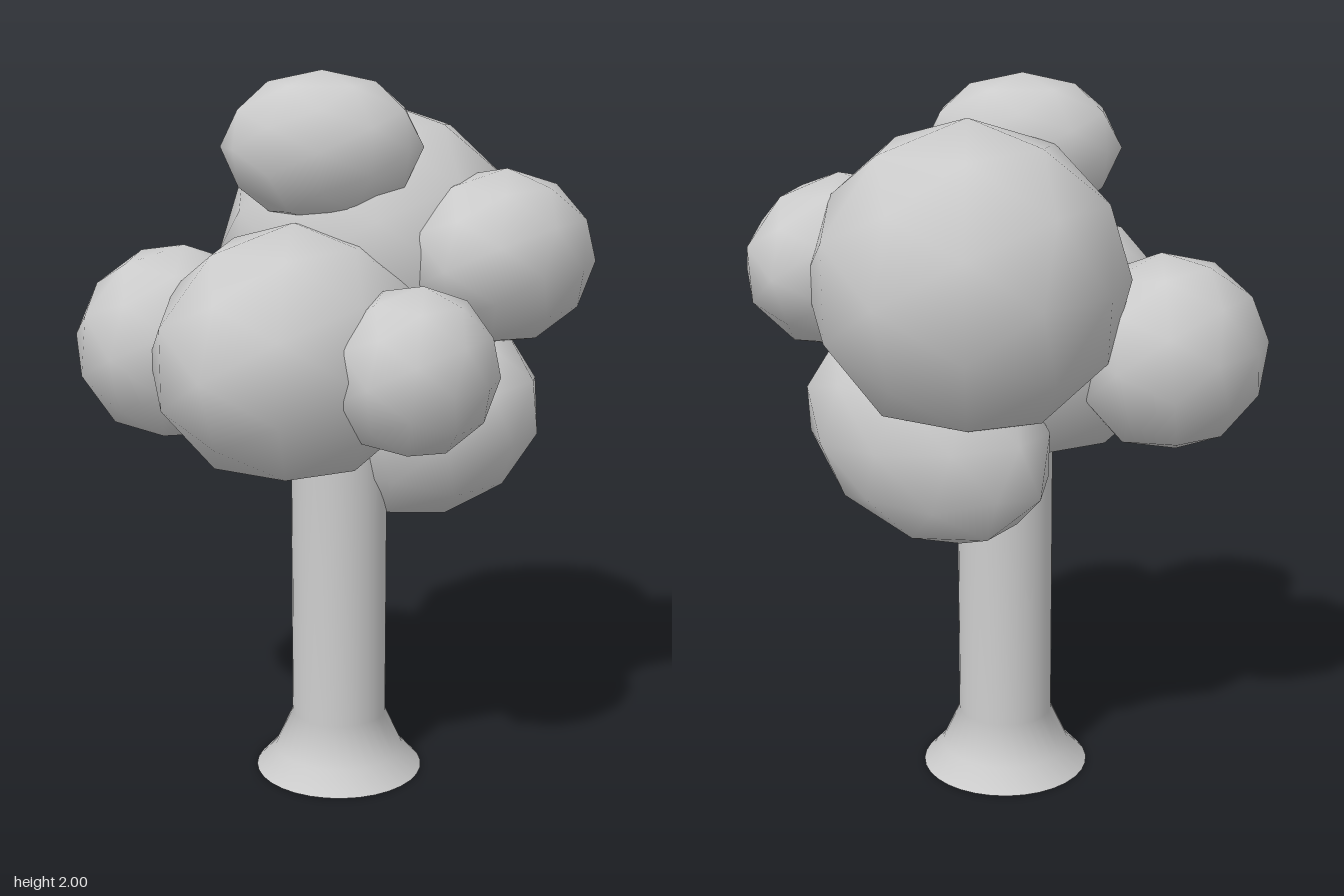
import * as THREE from 'three';

export function createModel() {
  const tree = new THREE.Group();
  tree.name = 'tree';
  const material = new THREE.MeshStandardMaterial({ color: 0xcccccc });

  const add = (parent, name, geometry) => {
    const mesh = new THREE.Mesh(geometry, material);
    mesh.name = name;
    parent.add(mesh);
    return mesh;
  };

  // Trunk with a flared foot
  const trunk = new THREE.Group();
  trunk.name = 'trunk';
  trunk.position.x = 0.02;
  tree.add(trunk);
  const profile = [[0.24, 0], [0.185, 0.06], [0.135, 0.17], [0.135, 1.25]]
    .map(([r, y]) => new THREE.Vector2(r, y));
  add(trunk, 'trunkStem', new THREE.LatheGeometry(profile, 32));
  add(trunk, 'trunkBase', new THREE.CircleGeometry(0.24, 32).rotateX(Math.PI / 2));
  add(trunk, 'trunkTop', new THREE.CircleGeometry(0.135, 32).rotateX(-Math.PI / 2).translate(0, 1.25, 0));

  // Foliage clumps: name, centre, radii, rotation
  const crown = new THREE.Group();
  crown.name = 'crown';
  tree.add(crown);
  const clumps = [
    ['topFoliage', [0.02, 1.8, 0.09], [0.27, 0.2, 0.187], [0, 0.52, 0]],
    ['backFoliage', [0, 1.49, -0.21], [0.43, 0.42, 0.43], [0, 0, 0]],
    ['frontFoliage', [0, 1.26, 0.2], [0.36, 0.35, 0.44], [0, 0, 0]],
    ['rightFoliage', [-0.38, 1.255, 0.21], [0.27, 0.275, 0.3], [0, 0, -0.11]],
    ['leftFrontFoliage', [0.375, 1.255, 0.215], [0.215, 0.225, 0.245], [0, 0, -0.1]],
    ['leftBackFoliage', [0.4, 1.5, -0.21], [0.25, 0.24, 0.32], [0, 0, -0.08]],
    ['lowerFoliage', [0.16, 1.04, -0.18], [0.39, 0.3, 0.25], [0, 0, 0.35]],
  ];
  const ball = new THREE.IcosahedronGeometry(1, 1);
  for (const [name, centre, radii, rotation] of clumps) {
    const clump = add(crown, name, ball);
    clump.position.set(...centre);
    clump.scale.set(...radii);
    clump.rotation.set(...rotation);
  }
  return tree;
}
